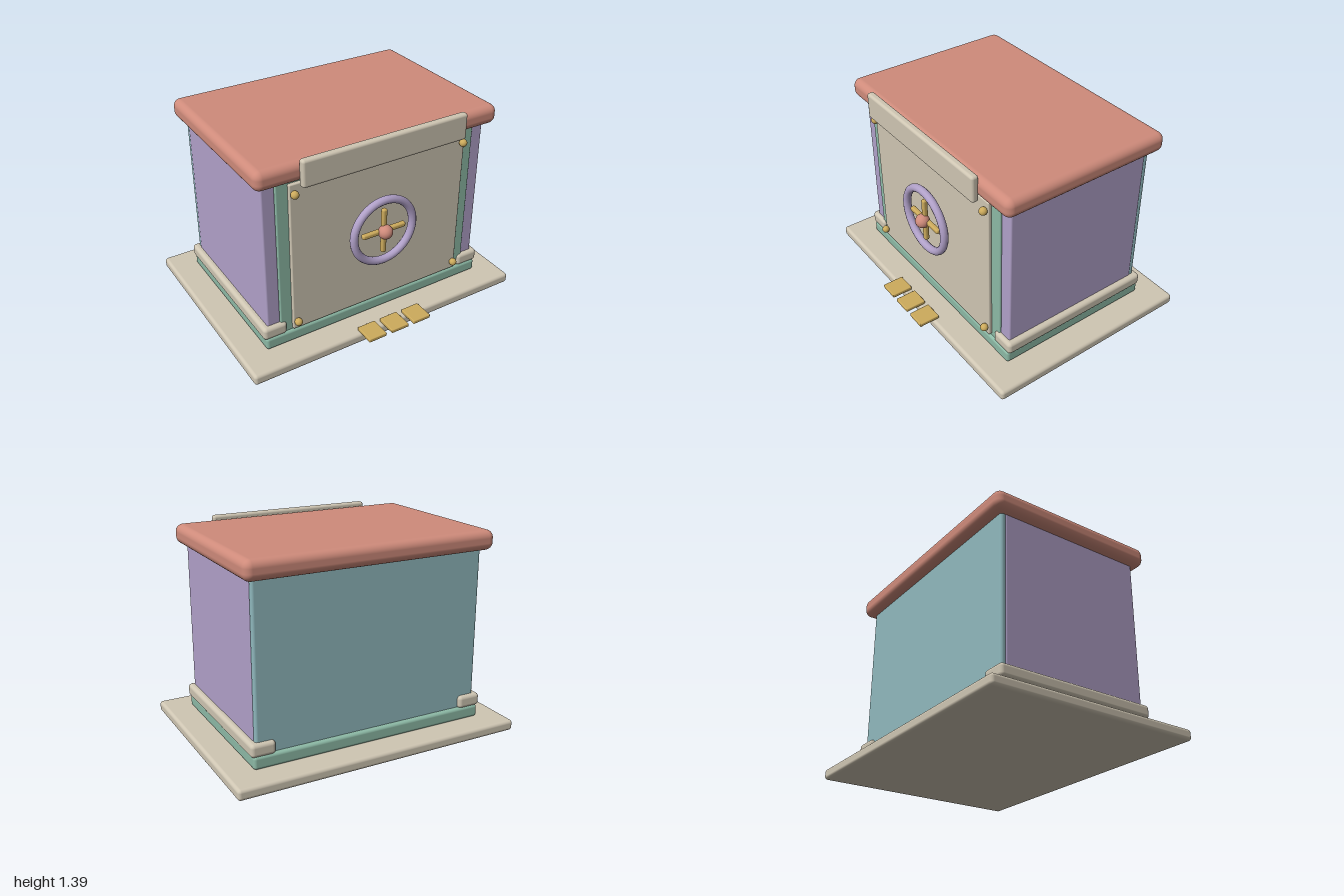
import * as THREE from 'three';
import { RoundedBoxGeometry } from 'three/addons/geometries/RoundedBoxGeometry.js';

const paint = (name, color) => {
  const m = new THREE.MeshStandardMaterial({ color });
  m.name = name;
  return m;
};

export function createModel() {
  const beige = paint('beige', 0xcfc6b3);
  const red = paint('terracotta', 0xcf8b7b);
  const purple = paint('lavender', 0xb1a1c9);
  const teal = paint('teal', 0x90b9be);
  const green = paint('sage', 0x8dbaa6);
  const gold = paint('gold', 0xcdab5c);

  const model = new THREE.Group();
  const add = (name, geometry, material, x = 0, y = 0, z = 0, parent = model) => {
    const mesh = new THREE.Mesh(geometry, material);
    mesh.name = name;
    mesh.position.set(x, y, z);
    parent.add(mesh);
    return mesh;
  };
  // Rounded block given by its extents on each axis
  const block = (name, material, [x0, x1], [y0, y1], [z0, z1], radius) =>
    add(name, new RoundedBoxGeometry(x1 - x0, y1 - y0, z1 - z0, 4, radius), material,
      (x0 + x1) / 2, (y0 + y1) / 2, (z0 + z1) / 2);

  // Ground slab, plinth and roof
  block('baseSlab', beige, [-1, 1], [0, 0.073], [-0.778, 0.679], 0.022);
  block('plinth', green, [-0.825, 0.825], [0.073, 0.16], [-0.606, 0.506], 0.02);
  block('roof', red, [-0.863, 0.863], [1.235, 1.366], [-0.645, 0.546], 0.05);

  // Walls
  block('backWall', teal, [-0.8, 0.8], [0.14, 1.26], [-0.577, -0.535], 0.018);
  block('frontFrame', green, [-0.715, 0.715], [0.14, 1.26], [0.4, 0.488], 0.01);
  for (const s of [-1, 1]) {
    const span = (a, b) => (s > 0 ? [a, b] : [-b, -a]);
    block('sideWall', purple, span(0.71, 0.802), [0.14, 1.26], [-0.545, 0.476], 0.012);
    block('sideSkirt', beige, span(0.675, 0.84), [0.152, 0.24], [-0.606, 0.506], 0.025);
  }

  // Door with corner rivets
  block('door', beige, [-0.635, 0.635], [0.168, 1.215], [0.48, 0.51], 0.008);
  const rivet = new THREE.SphereGeometry(0.026, 20, 14);
  for (const x of [-0.61, 0.61])
    for (const y of [0.23, 1.155]) add('rivet', rivet, gold, x, y, 0.529);

  // Handwheel
  const wheel = new THREE.Group();
  wheel.name = 'handwheel';
  wheel.position.set(0, 0.716, 0.551);
  model.add(wheel);
  add('wheelRim', new THREE.TorusGeometry(0.22, 0.027, 12, 48), purple, 0, 0, 0, wheel);
  const spoke = new RoundedBoxGeometry(0.32, 0.034, 0.034, 3, 0.012);
  add('spokeHorizontal', spoke, gold, 0, 0, 0, wheel);
  add('spokeVertical', spoke, gold, 0, 0, 0, wheel).rotation.z = Math.PI / 2;
  add('hub', new THREE.SphereGeometry(0.048, 24, 16), red, 0, 0, 0.021, wheel);

  // Blank sign board above the door
  block('signBoard', beige, [-0.585, 0.585], [1.21, 1.39], [0.535, 0.585], 0.018);

  // Step tiles at the front edge
  for (const x of [-0.172, 0, 0.172])
    block('stepTile', gold, [x - 0.066, x + 0.066], [0.07, 0.096], [0.632, 0.777], 0.006);

  return model;
}
